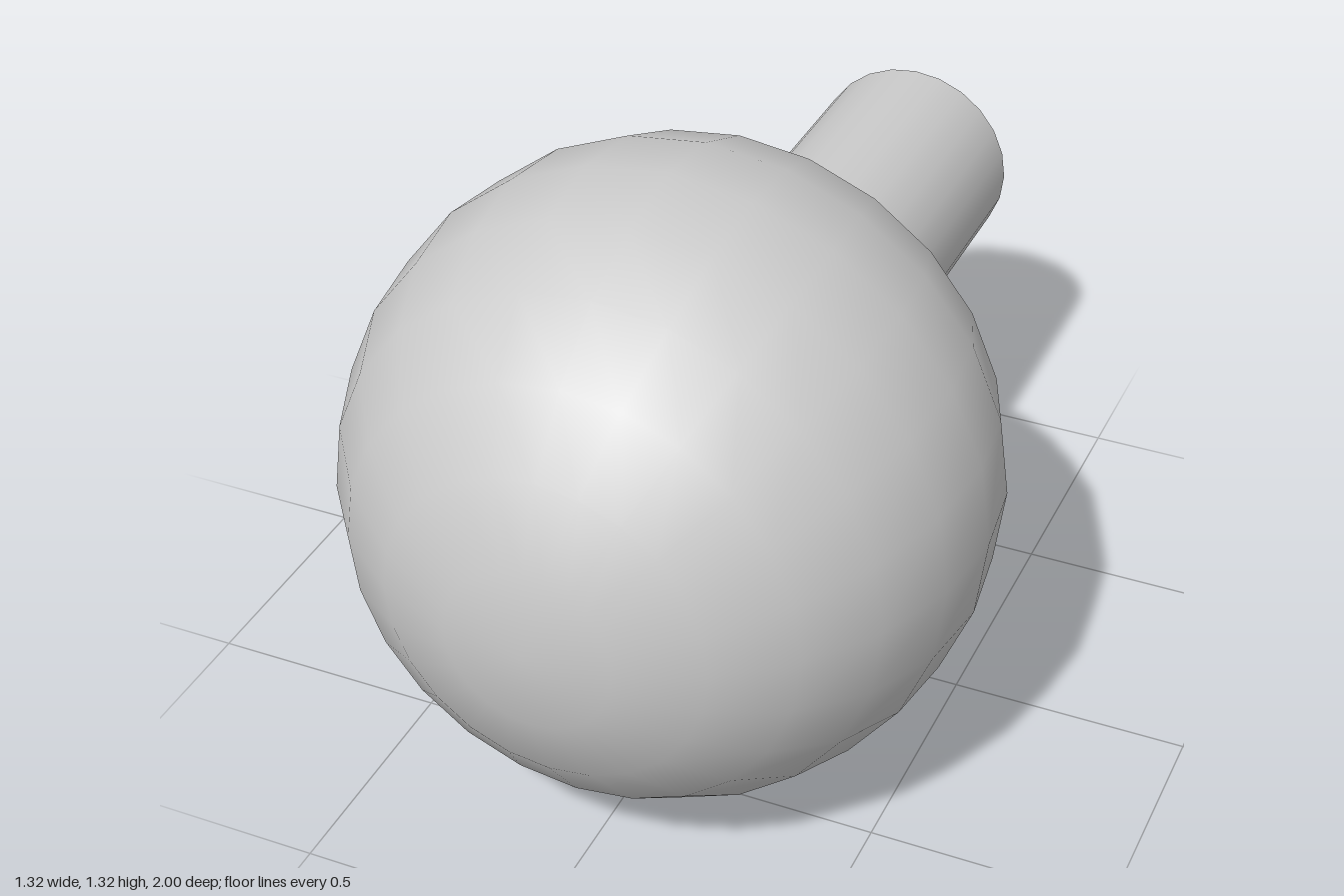
import * as THREE from 'three';

const SIDES = 24;
const RADIUS = 0.66;
const CENTRE_Y = 0.66;
const CENTRE_Z = 0.34;
const NECK = THREE.MathUtils.degToRad(20); // half angle where the stem joins

export function createModel() {
  const group = new THREE.Group();
  const material = new THREE.MeshStandardMaterial({ color: 0xcccccc });

  // ball: pole on +z, cut open at the neck
  const profile = [];
  const addRing = (a) => profile.push(new THREE.Vector2(RADIUS * Math.sin(a), -RADIUS * Math.cos(a)));
  addRing(NECK);
  for (let i = 2; i < 12; i++) addRing((i * Math.PI) / 12);
  profile.push(new THREE.Vector2(0, RADIUS));
  const ballGeometry = new THREE.LatheGeometry(profile, SIDES).rotateX(Math.PI / 2);

  // exact radial normals
  const p = ballGeometry.attributes.position;
  const n = ballGeometry.attributes.normal;
  for (let i = 0; i < p.count; i++) {
    n.setXYZ(i, p.getX(i) / RADIUS, p.getY(i) / RADIUS, p.getZ(i) / RADIUS);
  }
  const ball = new THREE.Mesh(ballGeometry, material);
  ball.name = 'ball';
  ball.position.set(0, CENTRE_Y, CENTRE_Z);

  // stem: from the neck back to z = -1, closed at the rear
  const neckRadius = RADIUS * Math.sin(NECK);
  const neckZ = CENTRE_Z - RADIUS * Math.cos(NECK);
  const length = neckZ + 1;
  const stem = new THREE.Mesh(
    new THREE.CylinderGeometry(neckRadius, neckRadius, length, SIDES).rotateX(Math.PI / 2),
    material
  );
  stem.name = 'stem';
  stem.position.set(0, CENTRE_Y, -1 + length / 2);

  group.add(ball, stem);
  return group;
}
